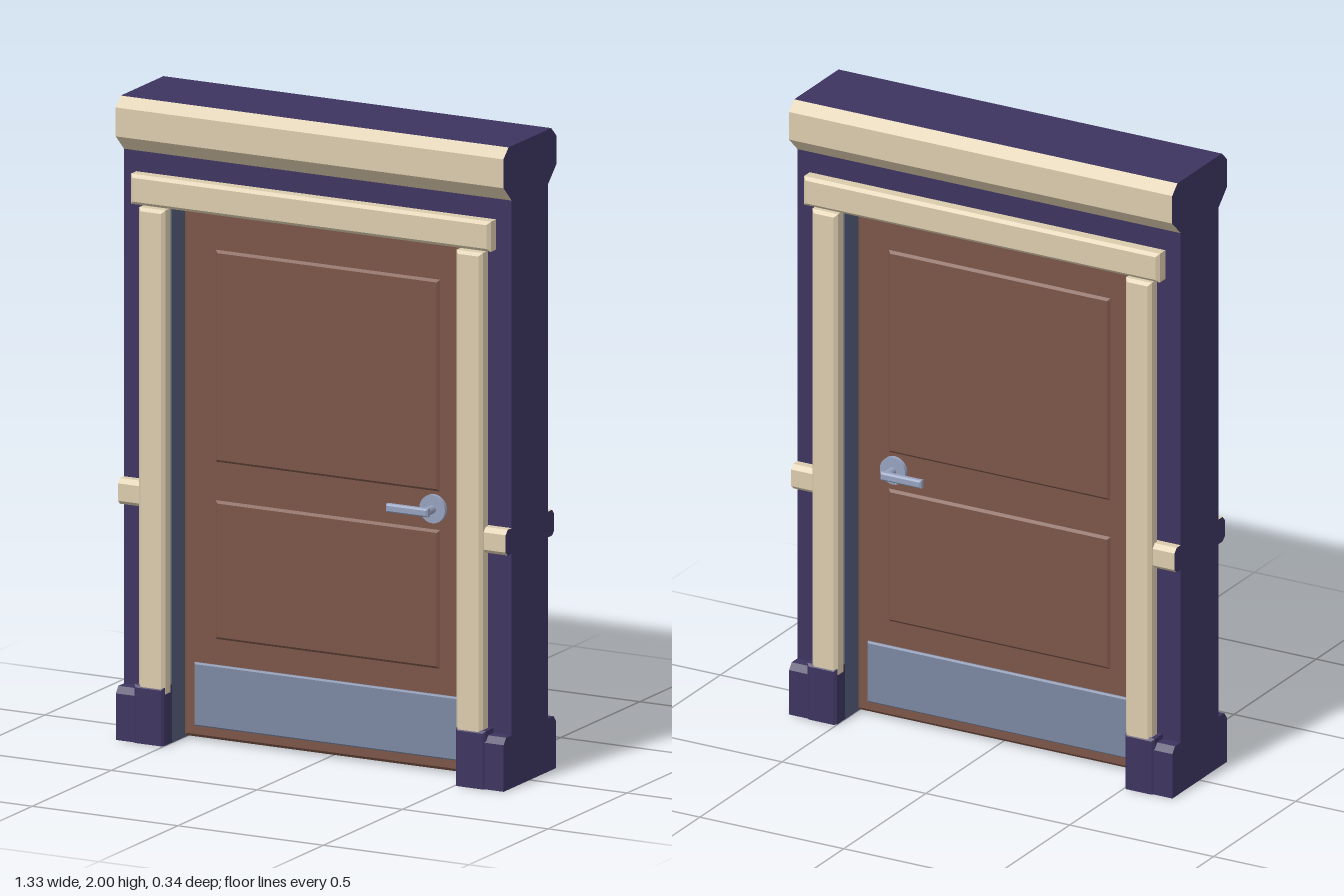
import * as THREE from 'three';

const mat = (name, color) => {
  const m = new THREE.MeshStandardMaterial({ color });
  m.name = name;
  return m;
};

export function createModel() {
  const navy = mat('navy wall', 0x3d345f);
  const cream = mat('cream trim', 0xdacbac);
  const wood = mat('brown door', 0x7b5548);
  const steel = mat('steel plate', 0x7a86a1);
  const slate = mat('slate jamb', 0x525c78);
  const metal = mat('handle metal', 0x95a1be);

  const model = new THREE.Group();
  const add = (parent, name, geo, material) => {
    const mesh = new THREE.Mesh(geo, material);
    mesh.name = name;
    parent.add(mesh);
    return mesh;
  };

  // Box given by its limits
  const box = (x0, x1, y0, y1, z0, z1) =>
    new THREE.BoxGeometry(x1 - x0, y1 - y0, z1 - z0)
      .translate((x0 + x1) / 2, (y0 + y1) / 2, (z0 + z1) / 2);

  // Box with one chamfer all round its front and back faces
  const chamfered = (x0, x1, y0, y1, z0, z1, b) => {
    const s = new THREE.Shape([
      [x0 + b, y0 + b], [x1 - b, y0 + b], [x1 - b, y1 - b], [x0 + b, y1 - b],
    ].map(p => new THREE.Vector2(...p)));
    return new THREE.ExtrudeGeometry(s, {
      depth: z1 - z0 - 2 * b, bevelThickness: b, bevelSize: b, bevelSegments: 1,
    }).translate(0, 0, z0 + b);
  };

  // Flattens everything below the ground, leaving a sharp bottom edge
  const cutAtGround = geo => {
    const p = geo.attributes.position;
    for (let i = 0; i < p.count; i++) p.setY(i, Math.max(0, p.getY(i)));
    return geo;
  };

  // (z, y) profile drawn out along x
  const profile = (points, x0, x1) => {
    const s = new THREE.Shape(points.map(([z, y]) => new THREE.Vector2(-z, y)));
    return new THREE.ExtrudeGeometry(s, { depth: x1 - x0, bevelEnabled: false })
      .rotateY(Math.PI / 2).translate(x0, 0, 0);
  };

  // Chooses a material index per triangle from its normal
  const paint = (geo, pick) => {
    const n = geo.attributes.normal;
    geo.clearGroups();
    for (let i = 0; i < n.count; i += 3) {
      geo.addGroup(i, 3, pick(n.getX(i), n.getY(i), n.getZ(i)));
    }
    return geo;
  };

  // Wall around the opening, with the cornice in the same section
  const W = 0.666, D = 0.115;
  for (const s of [-1, 1]) {
    add(model, 'wallPier', box(Math.min(s * 0.506, s * W), Math.max(s * 0.506, s * W), 0, 1.68, -D, D), navy);
    add(model, 'sideJamb', box(s * 0.506 - 0.006, s * 0.506 + 0.006, 0, 1.68, -D - 0.001, D + 0.001), slate);
  }
  add(model, 'lintelWall', box(-W, W, 1.68, 1.83, -D, D), navy);
  add(model, 'headJamb', box(-0.5, 0.5, 1.672, 1.684, -D - 0.001, D + 0.001), slate);
  const half = [[D, 1.83], [0.167, 1.88], [0.167, 1.97], [0.135, 2]];
  const cornice = profile([...half, ...half.map(([z, y]) => [-z, y]).reverse()], -W, W);
  add(model, 'cornice', paint(cornice, (x, y, z) => (Math.abs(z) > 0.3 ? 1 : 0)), [navy, cream]);

  // Door leaf
  const F = 0.05;
  add(model, 'doorLeaf', chamfered(-0.497, 0.497, 0.008, 1.663, -F, F, 0.01), wood);

  // Everything below repeats on both faces of the wall
  for (const face of [1, -1]) {
    const side = new THREE.Group();
    side.name = face > 0 ? 'frontSide' : 'backSide';
    if (face < 0) side.rotation.y = Math.PI;
    model.add(side);

    // Door panels and kick plate
    for (const [y0, y1] of [[0.323, 0.755], [0.875, 1.535]]) {
      add(side, 'panelMoulding', chamfered(-0.385, 0.385, y0, y1, F - 0.013, F + 0.008, 0.008), wood);
    }
    add(side, 'kickPlate', chamfered(-0.457, 0.457, 0.045, 0.243, F - 0.008, F + 0.009, 0.005), steel);

    // Lever handle
    const handle = new THREE.Group();
    handle.name = 'leverHandle';
    handle.position.set(0.365 * face, 0.821, F);
    side.add(handle);
    add(handle, 'rosette', new THREE.CylinderGeometry(0.044, 0.044, 0.014, 24)
      .rotateX(Math.PI / 2).translate(0, 0, 0.007), metal);
    add(handle, 'spindle', new THREE.CylinderGeometry(0.013, 0.013, 0.06, 16)
      .rotateX(Math.PI / 2).translate(0, 0, 0.035), metal);
    const lever = chamfered(-0.13, 0.013, -0.013, 0.013, 0.048, 0.07, 0.005);
    if (face < 0) lever.rotateZ(Math.PI);
    add(handle, 'lever', lever, metal);

    // Head casing
    add(side, 'headCasing', chamfered(-0.618, 0.618, 1.674, 1.768, D, 0.168, 0.01), cream);

    for (const s of [-1, 1]) {
      const span = (a, b) => (s > 0 ? [a, b] : [-b, -a]);
      // Side casing on its plinth block
      add(side, 'sideCasing', chamfered(...span(0.5, 0.59), 0.16, 1.667, D, 0.168, 0.01), cream);
      add(side, 'plinthBlock',
        cutAtGround(chamfered(...span(0.501, 0.604), -0.02, 0.181, 0.1, 0.171, 0.008)), navy);

      // Baseboard and chair rail beside the casing
      const base = [[0.1, 0], [0.166, 0], [0.166, 0.145], [0.15, 0.165], [0.1, 0.165]];
      add(side, 'baseboard', profile(base, ...span(0.59, W)), navy);
      const rail = [[0.1, 0.73], [0.14, 0.73], [0.153, 0.742], [0.153, 0.796], [0.14, 0.81], [0.1, 0.81]];
      add(side, 'chairRail', paint(profile(rail, ...span(0.585, W)),
        x => (Math.abs(x) > 0.5 ? 0 : 1)), [navy, cream]);
    }
  }
  return model;
}
